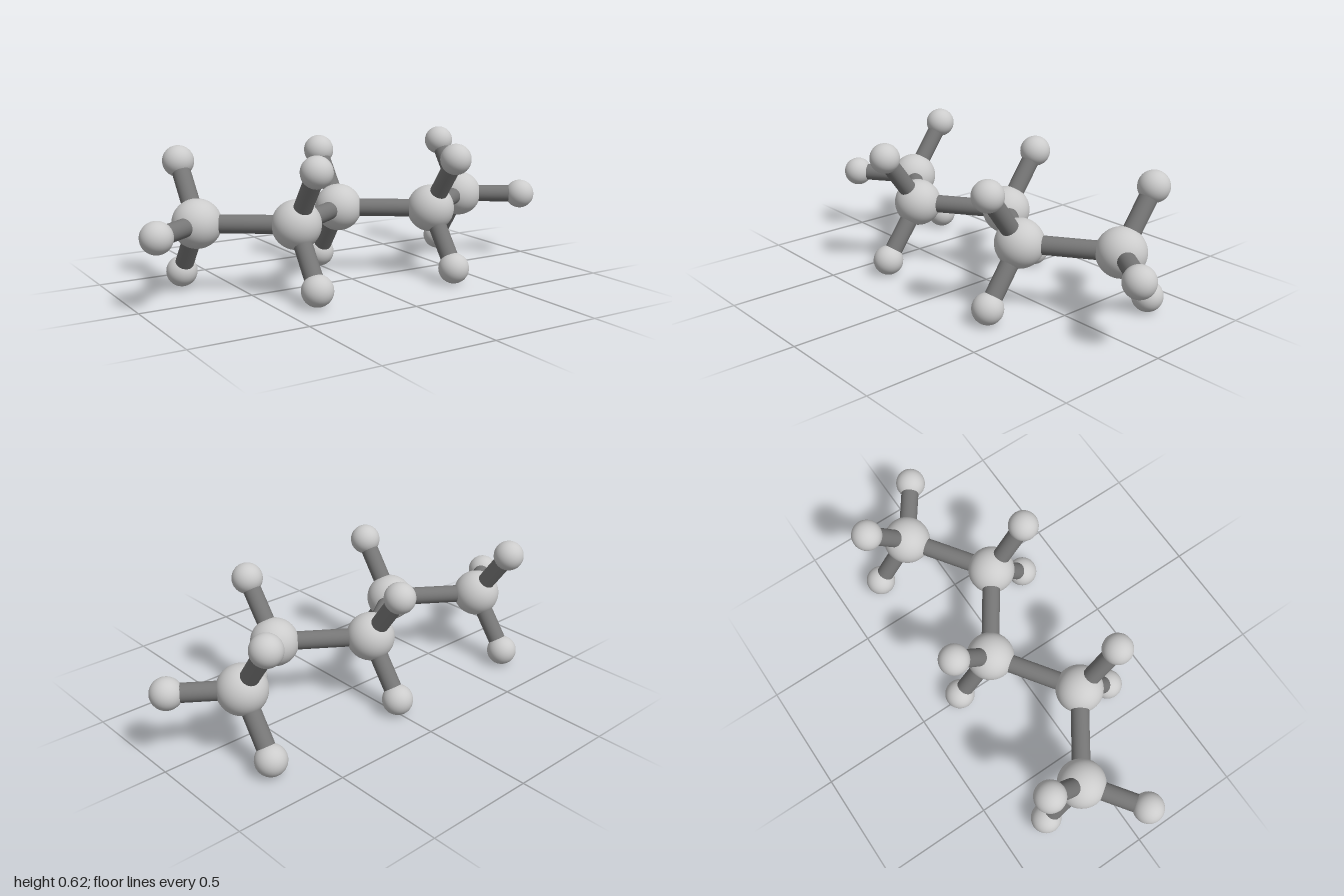
import * as THREE from 'three';

// Zigzag chain of five large balls, each carrying small balls on rods
export function createModel() {
  const group = new THREE.Group();
  const ballMaterial = new THREE.MeshStandardMaterial({ color: 0xcccccc });
  const rodMaterial = new THREE.MeshStandardMaterial({ color: 0x777777 });
  const largeBall = new THREE.SphereGeometry(0.106, 40, 28);
  const smallBall = new THREE.SphereGeometry(0.068, 32, 24);
  const up = new THREE.Vector3(0, 1, 0);
  const midY = 0.312;

  function addBall(name, geometry, position) {
    const ball = new THREE.Mesh(geometry, ballMaterial);
    ball.name = name;
    ball.position.copy(position);
    group.add(ball);
  }

  // Rod running between two ball centres
  function addRod(name, a, b) {
    const direction = b.clone().sub(a);
    const rod = new THREE.Mesh(
      new THREE.CylinderGeometry(0.04, 0.04, direction.length(), 28), rodMaterial);
    rod.name = name;
    rod.position.copy(a).lerp(b, 0.5);
    rod.quaternion.setFromUnitVectors(up, direction.normalize());
    group.add(rod);
  }

  function addBranch(from, to) {
    addBall('smallBall', smallBall, to);
    addRod('branchRod', from, to);
  }

  // Chain: balls alternate between back and front
  const centres = [];
  for (let i = -2; i <= 2; i++) {
    const side = i % 2 === 0 ? -1 : 1;
    const centre = new THREE.Vector3(i * 0.345, midY, side * 0.119);
    centres.push(centre);
    addBall('largeBall', largeBall, centre);

    // Upper and lower branches lean outward
    for (const s of [1, -1]) {
      addBranch(centre, new THREE.Vector3(i * 0.347, midY + s * 0.243, side * 0.295));
    }
  }

  for (let i = 0; i < 4; i++) addRod('chainRod', centres[i], centres[i + 1]);

  // Branches closing both ends of the chain
  for (const s of [-1, 1]) {
    addBranch(centres[s < 0 ? 0 : 4], new THREE.Vector3(s * 0.932, midY, 0.053));
  }

  return group;
}
